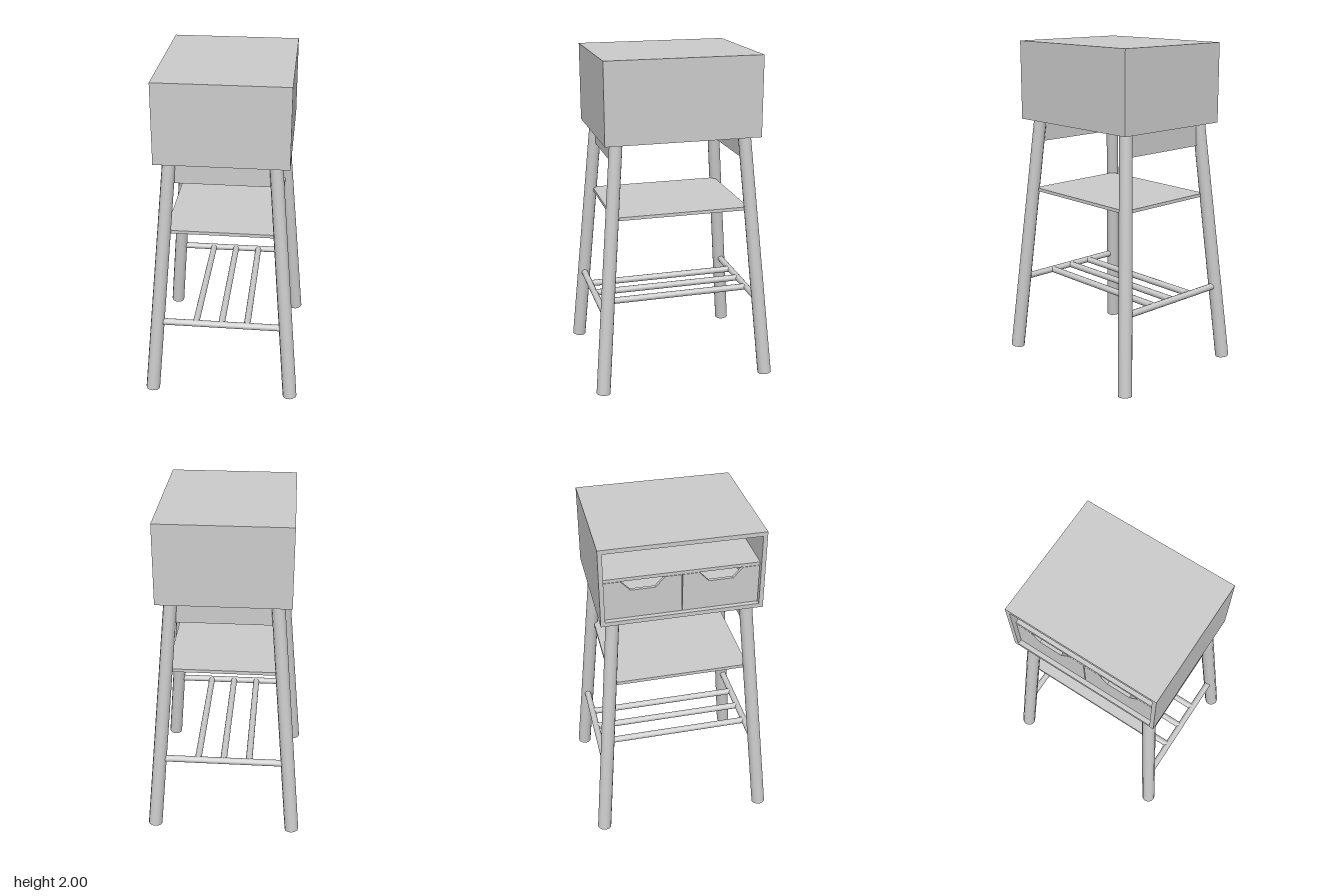
import * as THREE from 'three';

const grey = new THREE.MeshStandardMaterial({ color: 0xcccccc });

function add(parent, name, geometry) {
  const mesh = new THREE.Mesh(geometry, grey);
  mesh.name = name;
  parent.add(mesh);
  return mesh;
}

// Box given by its min and max along each axis
function box(parent, name, [x0, x1], [y0, y1], [z0, z1]) {
  const mesh = add(parent, name, new THREE.BoxGeometry(x1 - x0, y1 - y0, z1 - z0));
  mesh.position.set((x0 + x1) / 2, (y0 + y1) / 2, (z0 + z1) / 2);
}

// Round bar from a to b
function rod(parent, name, a, b, r0, r1 = r0) {
  const from = new THREE.Vector3(...a), to = new THREE.Vector3(...b);
  const dir = to.clone().sub(from);
  const mesh = add(parent, name, new THREE.CylinderGeometry(r1, r0, dir.length(), 12));
  mesh.position.copy(from).add(to).multiplyScalar(0.5);
  mesh.quaternion.setFromUnitVectors(new THREE.Vector3(0, 1, 0), dir.normalize());
}

function group(parent, name) {
  const g = new THREE.Group();
  g.name = name;
  parent.add(g);
  return g;
}

export function createModel() {
  const model = new THREE.Group();
  model.name = 'nightstand';
  const X = 0.386, Z = 0.467, T = 0.025, Y0 = 1.52, Y1 = 2;
  const front = -X + 0.026, zi = Z - T;

  // Cabinet, open on the -x side
  const cabinet = group(model, 'cabinet');
  box(cabinet, 'topPanel', [-X, X], [Y1 - T, Y1], [-Z, Z]);
  box(cabinet, 'bottomPanel', [-X, X], [Y0, Y0 + T], [-Z, Z]);
  for (const s of [-1, 1]) {
    box(cabinet, 'sidePanel', [-X, X], [Y0 + T, Y1 - T], s > 0 ? [zi, Z] : [-Z, -zi]);
  }
  box(cabinet, 'backPanel', [X - T, X], [Y0 + T, Y1 - T], [-zi, zi]);
  box(cabinet, 'innerShelf', [front, X - T], [1.782, 1.802], [-zi, zi]);

  // Two drawers with a notched grip in the front
  const y0 = Y0 + T + 0.002, h = 1.78 - y0, w = zi / 2 - 0.002;
  for (const s of [-1, 1]) {
    const drawer = group(cabinet, 'drawer');
    drawer.position.set(0, y0, s * zi / 2);
    const shape = new THREE.Shape([
      [-w, 0], [w, 0], [w, h], [0.125, h], [0.07, h - 0.06], [-0.07, h - 0.06], [-0.125, h], [-w, h],
    ].map(([x, y]) => new THREE.Vector2(x, y)));
    const face = add(drawer, 'drawerFront', new THREE.ExtrudeGeometry(shape, { depth: 0.02, bevelEnabled: false }));
    face.rotation.y = -Math.PI / 2;
    face.position.x = front + 0.02;
    const x0 = front + 0.02, x1 = X - T - 0.02;
    box(drawer, 'drawerBottom', [x0, x1], [0, 0.015], [-w, w]);
    box(drawer, 'drawerBack', [x1 - 0.015, x1], [0.015, h - 0.06], [-w + 0.015, w - 0.015]);
    for (const z of [-w, w - 0.015]) {
      box(drawer, 'drawerSide', [x0, x1], [0.015, h - 0.06], [z, z + 0.015]);
    }
  }

  // Splayed legs
  const legs = group(model, 'legs');
  for (const sx of [-1, 1]) for (const sz of [-1, 1]) {
    rod(legs, 'leg', [sx * 0.431, 0.005, sz * 0.518], [sx * 0.304, 1.525, sz * 0.387], 0.043, 0.039);
  }

  // Aprons under the cabinet and the middle shelf
  for (const s of [-1, 1]) {
    box(model, 'apron', [-0.3, 0.3], [1.38, Y0], [s * 0.387 - 0.01, s * 0.387 + 0.01]);
  }
  box(model, 'middleShelf', [-0.333, 0.333], [1.06, 1.08], [-0.415, 0.415]);

  // Lower rack: two rails and three cross bars
  const rack = group(model, 'lowerRack');
  for (const s of [-1, 1]) {
    rod(rack, 'rail', [-0.39, 0.48, s * 0.48], [0.39, 0.48, s * 0.48], 0.02);
  }
  for (const x of [-0.156, 0, 0.156]) {
    rod(rack, 'crossBar', [x, 0.48, -0.475], [x, 0.48, 0.475], 0.02);
  }
  return model;
}
